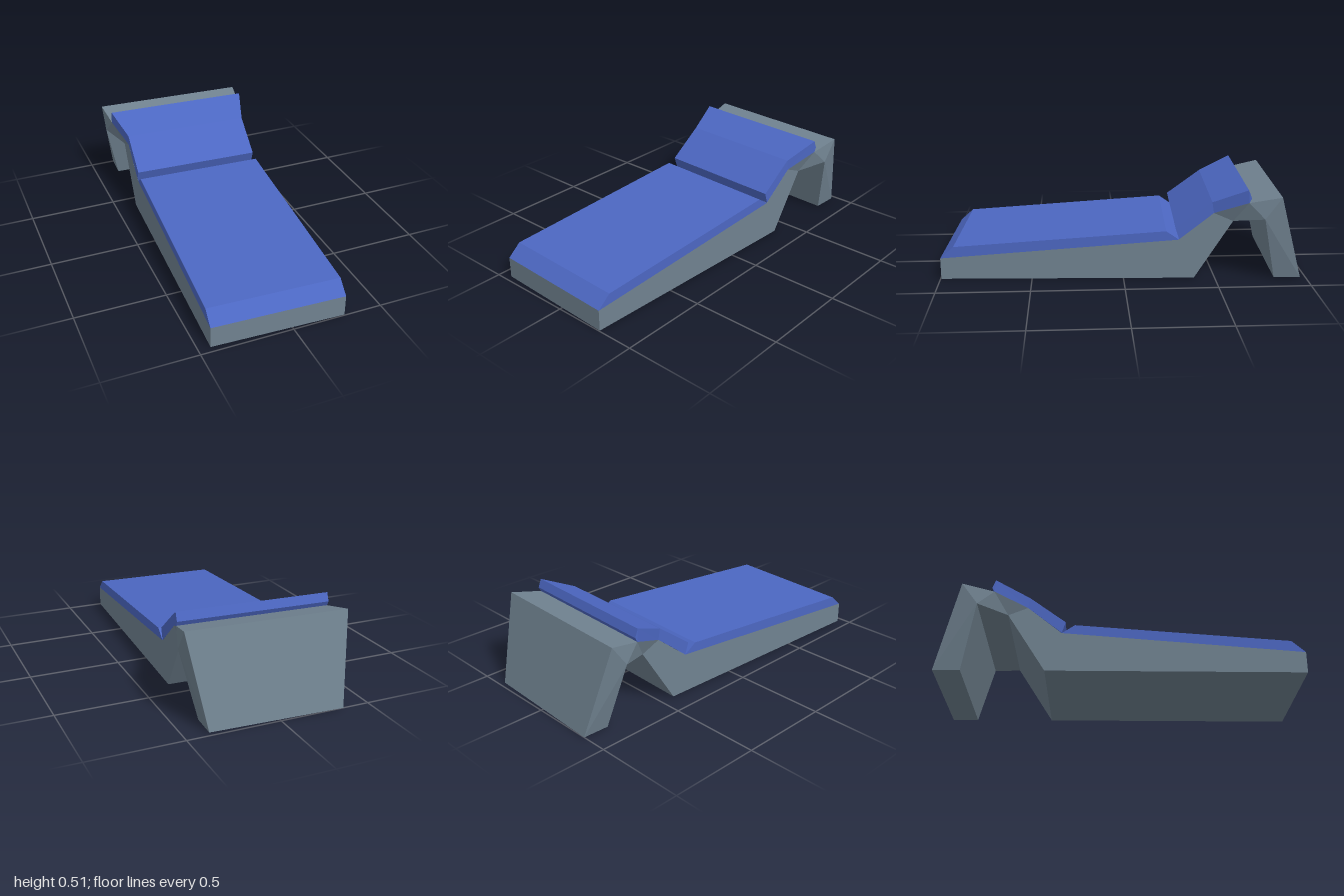
import * as THREE from 'three';

const CENTRE_X = -0.032;
const N = 0.363; // narrow half width
const W = 0.416; // flared half width at the pad top
const R = 0.438; // widest half width at the ridge

// Solid from a side profile of [z, y, half width] points (front, up, back, down);
// sides lists the convex pieces that fill the profile.
function sideSolid(name, profile, sides, material) {
  const pos = [];
  const point = (i, s) => {
    const [z, y, w] = profile[i % profile.length];
    return [CENTRE_X + s * w, y, z];
  };
  const tri = (a, b, c) => pos.push(...a, ...b, ...c);
  for (let i = 0; i < profile.length; i++) {
    const a = point(i, -1), b = point(i, 1), c = point(i + 1, 1), d = point(i + 1, -1);
    tri(a, b, c);
    tri(a, c, d);
  }
  for (const f of sides) {
    for (let k = 1; k < f.length - 1; k++) {
      tri(point(f[0], -1), point(f[k], -1), point(f[k + 1], -1));
      tri(point(f[0], 1), point(f[k + 1], 1), point(f[k], 1));
    }
  }
  const geometry = new THREE.BufferGeometry();
  geometry.setAttribute('position', new THREE.Float32BufferAttribute(pos, 3));
  geometry.computeVertexNormals();
  const mesh = new THREE.Mesh(geometry, material);
  mesh.name = name;
  return mesh;
}

export function createModel() {
  const slate = new THREE.MeshStandardMaterial({ color: 0x708290 });
  slate.name = 'slate grey';
  const blue = new THREE.MeshStandardMaterial({ color: 0x4c67c2 });
  blue.name = 'cushion blue';

  const group = new THREE.Group();
  group.name = 'lounger';

  // Base wedge, sloping neck and folded rear leg
  group.add(sideSolid('base', [
    [0.983, 0, N], [0.983, 0.118, N], [-0.315, 0.22, N], [-0.5, 0.37, N],
    [-0.68, 0.44, W], [-0.852, 0.475, R], [-0.985, 0, N], [-0.84, 0, N],
    [-0.765, 0.355, R], [-0.605, 0.325, N], [-0.4, 0, N],
  ], [[0, 1, 2, 10], [10, 2, 3, 9], [9, 3, 4, 8], [8, 4, 5], [8, 5, 6, 7]], slate));

  // Long seat cushion with bevelled ends
  group.add(sideSolid('seatCushion', [
    [0.983, 0.118, N], [0.91, 0.183, N], [-0.245, 0.268, N], [-0.315, 0.22, N],
  ], [[0, 1, 2, 3]], blue));

  // Bent back cushion that flares towards the top
  group.add(sideSolid('backCushion', [
    [-0.315, 0.222, N], [-0.295, 0.285, N], [-0.49, 0.43, N], [-0.675, 0.51, W],
    [-0.693, 0.465, W], [-0.68, 0.44, W], [-0.5, 0.37, N],
  ], [[0, 1, 2, 6], [6, 2, 3, 5], [3, 4, 5]], blue));

  // The lounger stands slightly turned
  group.rotation.y = -0.041;
  const model = new THREE.Group();
  model.name = 'loungerModel';
  model.add(group);
  return model;
}
